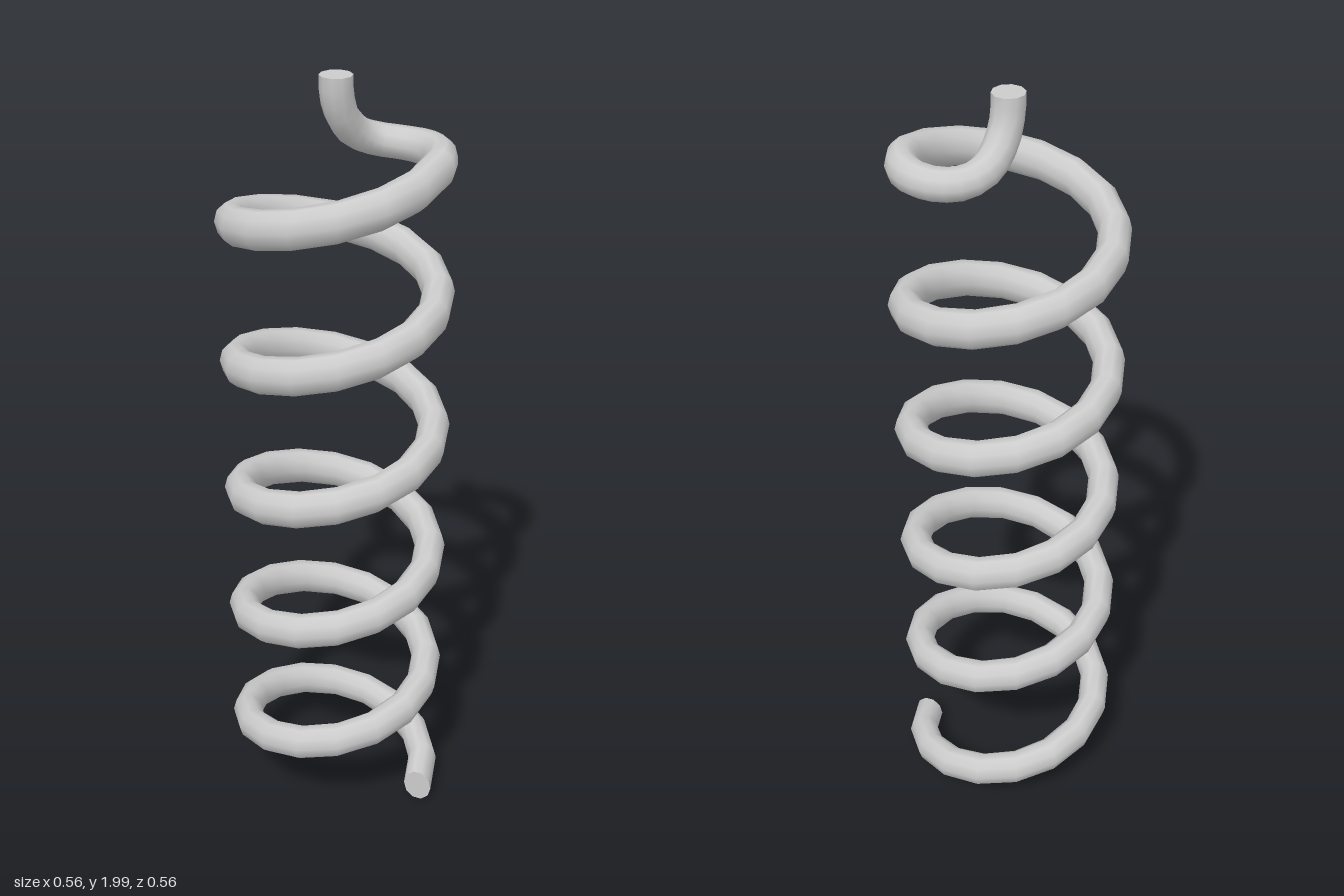
import * as THREE from 'three';

const SIDES = 10, PER_TURN = 16, TURNS = 5;
const RADIUS = 0.241, PITCH = 0.353, START_Y = 0.051;
const WIRE = 0.0385, COIL_HEIGHT = 0.047;
const UP = new THREE.Vector3(0, 1, 0);

// One cross-section: centre, sideways axis and upward axis, both scaled to the wire size
function section(centre, side, rise) {
  const ring = [];
  for (let j = 0; j < SIDES; j++) {
    const a = (j / SIDES) * Math.PI * 2;
    ring.push(centre.clone().addScaledVector(side, Math.cos(a)).addScaledVector(rise, Math.sin(a)));
  }
  return { centre, ring };
}

// Coil: sections stand upright in radial planes
function coilSections() {
  const list = [];
  for (let i = 0; i < TURNS * PER_TURN; i++) {
    const a = (i / PER_TURN) * Math.PI * 2;
    const out = new THREE.Vector3(Math.cos(a), 0, -Math.sin(a));
    const centre = out.clone().multiplyScalar(RADIUS);
    centre.y = START_Y + (PITCH * i) / PER_TURN;
    list.push(section(centre, out.multiplyScalar(WIRE), UP.clone().multiplyScalar(COIL_HEIGHT)));
  }
  return list;
}

// Hook: curls inward to the axis and turns up into the end stub
function hookSections() {
  const path = new THREE.CatmullRomCurve3([
    [0.241, 1.816, 0], [0.232, 1.822, -0.05], [0.2, 1.823, -0.095], [0.155, 1.823, -0.118],
    [0.108, 1.824, -0.122], [0.055, 1.832, -0.103], [0.022, 1.855, -0.065],
    [0.004, 1.91, -0.02], [0, 1.96, -0.003], [0, 2, 0],
  ].map((p) => new THREE.Vector3(...p)));
  const list = [], steps = 16;
  let side = new THREE.Vector3(1, 0, 0);
  for (let i = 0; i <= steps; i++) {
    const u = i / steps;
    const t = i === steps ? UP.clone() : path.getTangentAt(u);
    if (t.y < 0.97) side = t.clone().cross(UP).normalize();
    const blend = Math.min(1, u * 2.5);
    const rise = UP.clone().lerp(side.clone().cross(t), blend).normalize()
      .multiplyScalar(THREE.MathUtils.lerp(COIL_HEIGHT, WIRE, blend));
    list.push(section(path.getPointAt(u), side.clone().multiplyScalar(WIRE), rise));
  }
  return list;
}

// Smooth skin through all sections
function skin(sections) {
  const points = sections.flatMap((s) => s.ring), index = [];
  for (let i = 0; i < sections.length - 1; i++) {
    for (let j = 0; j < SIDES; j++) {
      const a = i * SIDES + j, b = i * SIDES + ((j + 1) % SIDES);
      index.push(a, a + SIDES, b, b, a + SIDES, b + SIDES);
    }
  }
  const geometry = new THREE.BufferGeometry().setFromPoints(points);
  geometry.setIndex(index);
  geometry.computeVertexNormals();
  return geometry;
}

// Flat end cap
function cap({ centre, ring }, flip) {
  const index = [];
  for (let j = 1; j <= SIDES; j++) {
    const next = (j % SIDES) + 1;
    index.push(0, flip ? next : j, flip ? j : next);
  }
  const geometry = new THREE.BufferGeometry().setFromPoints([centre, ...ring]);
  geometry.setIndex(index);
  geometry.computeVertexNormals();
  return geometry;
}

export function createModel() {
  const group = new THREE.Group();
  group.name = 'spring';
  const material = new THREE.MeshStandardMaterial({ color: 0xcccccc });
  const sections = [...coilSections(), ...hookSections()];
  const add = (name, geometry) => {
    const mesh = new THREE.Mesh(geometry, material);
    mesh.name = name;
    group.add(mesh);
  };
  add('coiledWire', skin(sections));
  add('bottomEnd', cap(sections[0], false));
  add('topEnd', cap(sections[sections.length - 1], true));
  return group;
}
